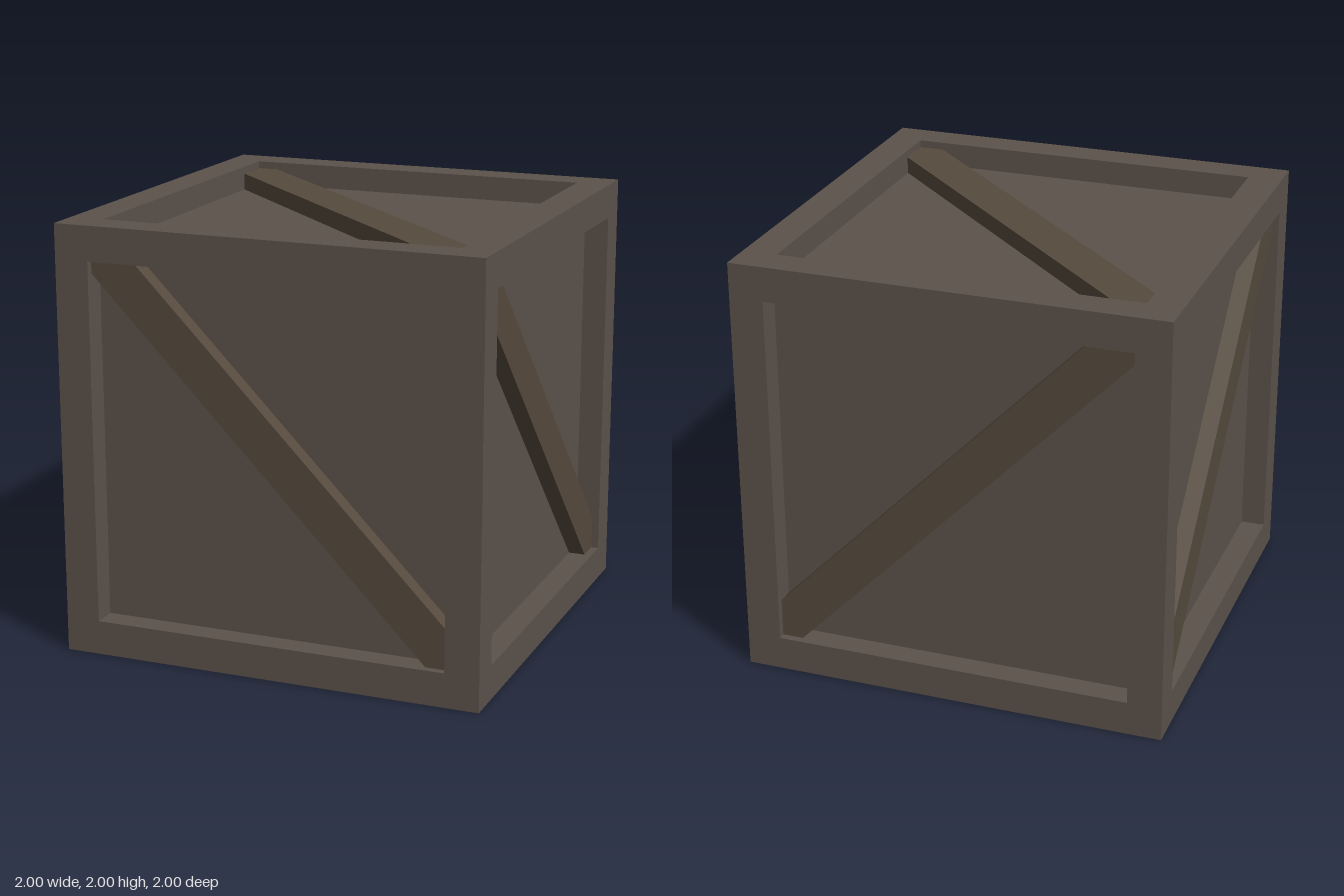
import * as THREE from 'three';

const HALF = 1;         // half the crate's side
const OPENING = 0.84;   // half the opening in each frame
const PANEL = 0.885;    // distance of the recessed panels from the centre
const BRACE_TOP = 0.965; // distance of the brace surfaces from the centre

const frameMaterial = new THREE.MeshStandardMaterial({ color: 0x5c524b });
const braceMaterial = new THREE.MeshStandardMaterial({ color: 0x564a3d });

function square(PathType, r) {
  return new PathType([[-r, -r], [r, -r], [r, r], [-r, r]].map(([x, y]) => new THREE.Vector2(x, y)));
}

// Square ring whose outer edge is mitred towards the inside of the crate
function mitredFrame() {
  const shape = square(THREE.Shape, HALF);
  shape.holes.push(square(THREE.Path, OPENING));
  const geometry = new THREE.ExtrudeGeometry(shape, { depth: HALF - PANEL, bevelEnabled: false });
  geometry.translate(0, 0, PANEL);
  const p = geometry.attributes.position;
  for (let i = 0; i < p.count; i++) {
    if (Math.abs(p.getX(i)) > 0.99 && p.getZ(i) < 0.99) {
      p.setXY(i, Math.sign(p.getX(i)) * PANEL, Math.sign(p.getY(i)) * PANEL);
    }
  }
  geometry.computeVertexNormals();
  return geometry;
}

// Diagonal plank trimmed to the opening: run along the top edge, drop on the
// left edge, rise on the right edge and run along the bottom edge
function braceGeometry(top, left, right, bottom) {
  const o = OPENING;
  const shape = new THREE.Shape([
    [-o, o], [-o, o - left], [o - bottom, -o], [o, -o], [o, right - o], [top - o, o],
  ].map(([x, y]) => new THREE.Vector2(x, y)));
  return new THREE.ExtrudeGeometry(shape, { depth: BRACE_TOP - PANEL, bevelEnabled: false });
}

export function createModel() {
  const crate = new THREE.Group();
  crate.name = 'crate';
  const body = new THREE.Group();
  body.name = 'body';
  body.position.y = HALF;
  crate.add(body);

  // Inner box forming all six recessed panels
  const panels = new THREE.Mesh(new THREE.BoxGeometry(2 * PANEL, 2 * PANEL, 2 * PANEL), frameMaterial);
  panels.name = 'panels';
  body.add(panels);

  // Opposite sides share an axis and the same diagonal
  const axes = [
    { names: ['front', 'back'], rotation: [0, 0, 0], brace: [0.21, 0.06, 0.18, 0.10] },
    { names: ['left', 'right'], rotation: [0, Math.PI / 2, 0], brace: [0.15, 0.12, 0.16, 0.12] },
    { names: ['top', 'bottom'], rotation: [-Math.PI / 2, 0, 0], brace: [0.10, 0.18, 0.17, 0.12] },
  ];
  const frameGeometry = mitredFrame();

  for (const { names, rotation, brace } of axes) {
    const pair = new THREE.Group();
    pair.name = `${names[0]}And${names[1]}Sides`;
    pair.rotation.set(...rotation);
    body.add(pair);
    const plank = braceGeometry(...brace);

    names.forEach((name, i) => {
      const frame = new THREE.Mesh(frameGeometry, frameMaterial);
      frame.name = `${name}Frame`;
      frame.rotation.y = i * Math.PI;
      pair.add(frame);

      const diagonal = new THREE.Mesh(plank, braceMaterial);
      diagonal.name = `${name}Brace`;
      diagonal.position.z = i === 0 ? PANEL : -BRACE_TOP;
      pair.add(diagonal);
    });
  }
  return crate;
}
